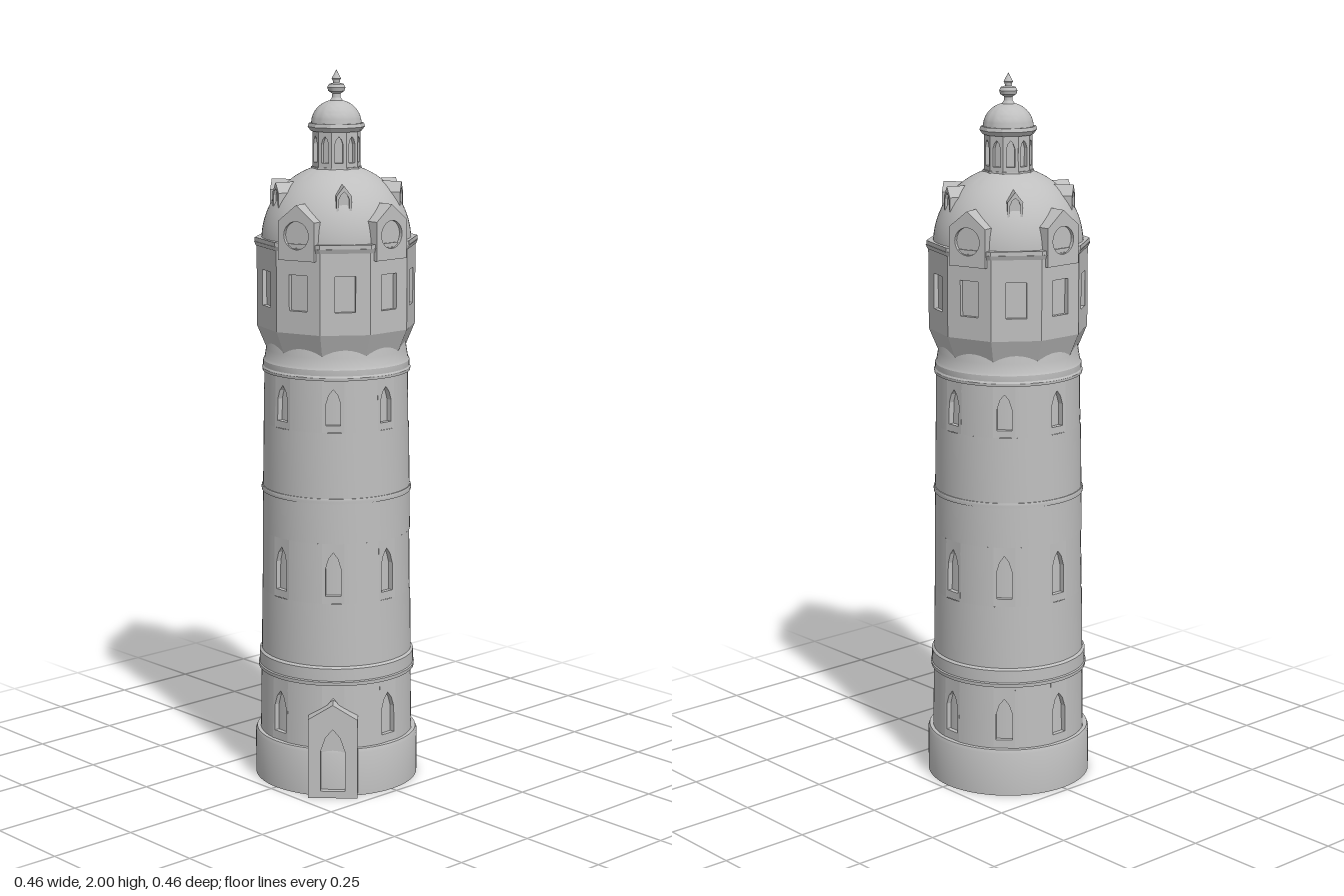
import * as THREE from 'three';
import { toCreasedNormals } from 'three/addons/utils/BufferGeometryUtils.js';

const stone = new THREE.MeshStandardMaterial({ color: 0xbfbfbf });
stone.name = 'pale grey stone';

const SIDES = 10;
const STEP = (Math.PI * 2) / SIDES;

function add(parent, name, geometry) {
  const mesh = new THREE.Mesh(geometry, stone);
  mesh.name = name;
  parent.add(mesh);
  return mesh;
}

// Round part from [radius, height] pairs, with sharp edges kept
function turned(profile, segments = 72, start = 0, length = Math.PI * 2) {
  const points = profile.map(([r, y]) => new THREE.Vector2(r, y));
  return toCreasedNormals(new THREE.LatheGeometry(points, segments, start, length), 0.45);
}

// Ten-sided drum with a flat side facing forward
function drum(rBottom, rTop, y0, y1) {
  const g = new THREE.CylinderGeometry(rTop, rBottom, y1 - y0, SIDES, 1, false, STEP / 2).toNonIndexed();
  g.computeVertexNormals();
  return g.translate(0, (y0 + y1) / 2, 0);
}

const outline = (pts) => pts.map(([x, y]) => new THREE.Vector2(x, y));
const rect = (w, y0, y1) => outline([[-w, y0], [w, y0], [w, y1], [-w, y1]]);
const gable = (w, y0, eave, apex) => outline([[-w, y0], [w, y0], [w, eave], [0, apex], [-w, eave]]);
const lancet = (w, y0, spring, apex) => outline([
  [-w, y0], [w, y0], [w, spring], [w * 0.6, spring + (apex - spring) * 0.62], [0, apex],
  [-w * 0.6, spring + (apex - spring) * 0.62], [-w, spring],
]);
const round = (r, y) => Array.from({ length: 24 }, (_, i) => {
  const a = (i / 24) * Math.PI * 2;
  return new THREE.Vector2(Math.cos(a) * r, y + Math.sin(a) * r);
});

// Upright slab between two depths, optionally pierced
function slab(shapePoints, back, front, hole) {
  const shape = new THREE.Shape(shapePoints);
  if (hole) shape.holes.push(new THREE.Path(hole));
  return new THREE.ExtrudeGeometry(shape, { depth: front - back, bevelEnabled: false }).translate(0, 0, back);
}

// Stretch of tapering shaft with eight recessed pointed windows
function windowStage(parent, name, y0, y1, r0, r1, hole) {
  const half = 0.03;
  const mid = (r0 + r1) / 2;
  const angle = Math.asin(half / mid);
  const sector = Math.PI / 4;
  for (let i = 0; i < 8; i++) {
    const bay = add(parent, name + 'Bay', slab(rect(half + 0.0006, y0, y1), -0.022, 0, hole));
    bay.geometry.translate(0, -(y0 + y1) / 2, 0)
      .rotateX(-Math.atan2(r0 - r1, y1 - y0))
      .translate(0, (y0 + y1) / 2, mid * Math.cos(angle));
    bay.rotation.y = i * sector;
    add(parent, name + 'Wall', turned([[r0, y0], [r1, y1]], 8, i * sector + angle, sector - 2 * angle));
  }
}

// Gabled dormer with a recessed opening; its body runs back into the dome
function dormer(parent, name, angle, shape, hole, front, back, recess) {
  const group = new THREE.Group();
  group.name = name;
  add(group, name + 'Body', slab(shape, back, front - recess));
  add(group, name + 'Face', slab(shape, front - recess, front, hole));
  group.rotation.y = angle;
  parent.add(group);
}

export function createModel() {
  const tower = new THREE.Group();
  tower.name = 'tower';

  // Plinth and shaft
  add(tower, 'plinth', turned([[0, 0], [0.231, 0], [0.231, 0.125], [0.227, 0.135], [0.19, 0.138]]));
  add(tower, 'shaftCore', turned([[0.202, 0.1], [0.183, 1.22]]));
  windowStage(tower, 'lowerStage', 0.135, 0.32, 0.217, 0.214, lancet(0.023, 0.16, 0.235, 0.28));
  add(tower, 'lowerBand', turned([
    [0.2, 0.318], [0.221, 0.318], [0.222, 0.328], [0.219, 0.331], [0.219, 0.366], [0.212, 0.372], [0.19, 0.373],
  ]));
  add(tower, 'middleWallBottom', turned([[0.2125, 0.365], [0.21, 0.55]]));
  windowStage(tower, 'middleStage', 0.55, 0.72, 0.21, 0.208, lancet(0.021, 0.572, 0.65, 0.695));
  add(tower, 'middleWallTop', turned([[0.208, 0.72], [0.2065, 0.84]]));
  add(tower, 'middleBand', turned([[0.195, 0.833], [0.21, 0.833], [0.211, 0.84], [0.209, 0.847], [0.195, 0.847]]));
  add(tower, 'upperWallBottom', turned([[0.2065, 0.84], [0.2035, 1.03]]));
  windowStage(tower, 'upperStage', 1.03, 1.175, 0.2035, 0.2015, lancet(0.02, 1.05, 1.11, 1.15));
  add(tower, 'upperBand', turned([
    [0.19, 1.174], [0.206, 1.174], [0.207, 1.182], [0.204, 1.187], [0.204, 1.203],
    [0.2, 1.21], [0.196, 1.235], [0.192, 1.262],
  ]));

  // Ten-sided head, flaring out from the shaft
  const R = 0.221;
  const apothem = R * Math.cos(STEP / 2);
  const halfSide = R * Math.sin(STEP / 2);
  add(tower, 'headFlare', drum(0.196, R, 1.24, 1.3));
  add(tower, 'headCore', drum(0.208, 0.208, 1.29, 1.53));
  for (let i = 0; i < SIDES; i++) {
    const wall = add(tower, 'headWall',
      slab(rect(halfSide, 1.3, 1.53), apothem - 0.014, apothem, rect(0.028, 1.362, 1.46)));
    wall.rotation.y = i * STEP;
  }
  add(tower, 'cornice', drum(0.223, 0.228, 1.522, 1.534));
  add(tower, 'gutter', drum(0.226, 0.226, 1.534, 1.545));

  // Main dome
  const dome = [];
  for (let i = 0; i <= 16; i++) {
    const a = (i / 16) * 1.24;
    dome.push([0.207 * Math.cos(a), 1.535 + 0.21 * Math.sin(a)]);
  }
  add(tower, 'dome', turned(dome));

  // Four large dormers with round windows, six small pointed ones
  for (let i = 0; i < SIDES; i++) {
    if ([0, 3, 5, 8].includes(i)) {
      dormer(tower, 'largeDormer', i * STEP, gable(0.056, 1.5, 1.605, 1.65), round(0.038, 1.568), 0.221, 0.1, 0.01);
    } else {
      dormer(tower, 'smallDormer', i * STEP, gable(0.021, 1.6, 1.672, 1.7),
        lancet(0.014, 1.622, 1.664, 1.684), 0.182, 0.1, 0.008);
    }
  }

  // Lantern with narrow arches
  add(tower, 'lanternBase', drum(0.072, 0.07, 1.718, 1.738));
  add(tower, 'lanternCore', drum(0.054, 0.054, 1.73, 1.84));
  for (let i = 0; i < SIDES; i++) {
    const arch = add(tower, 'lanternArch',
      slab(rect(0.0205, 1.735, 1.84), 0.052, 0.063, lancet(0.0115, 1.75, 1.8, 1.822)));
    arch.rotation.y = i * STEP;
  }
  add(tower, 'lanternCornice', drum(0.07, 0.079, 1.834, 1.846));
  add(tower, 'lanternRim', drum(0.079, 0.076, 1.846, 1.856));

  // Small cupola and finial
  const cupola = [];
  for (let i = 0; i <= 12; i++) {
    const a = (i / 12) * 1.3;
    cupola.push([0.069 * Math.cos(a), 1.855 + 0.064 * Math.sin(a)]);
  }
  add(tower, 'cupola', turned(cupola, 48));
  add(tower, 'finial', turned([
    [0.019, 1.914], [0.012, 1.925], [0.011, 1.935], [0.022, 1.942], [0.025, 1.952], [0.02, 1.961],
    [0.009, 1.964], [0.01, 1.972], [0.013, 1.976], [0.008, 1.985], [0, 2],
  ], 24));

  // Gabled entrance porch on the front right diagonal
  const porch = new THREE.Group();
  porch.name = 'porch';
  const porchShape = gable(0.069, 0, 0.228, 0.27);
  add(porch, 'porchBody', slab(porchShape, 0.15, 0.228));
  add(porch, 'porchFront', slab(porchShape, 0.228, 0.247, lancet(0.034, 0.02, 0.135, 0.2)));
  porch.rotation.y = -Math.PI / 4;
  tower.add(porch);

  return tower;
}
